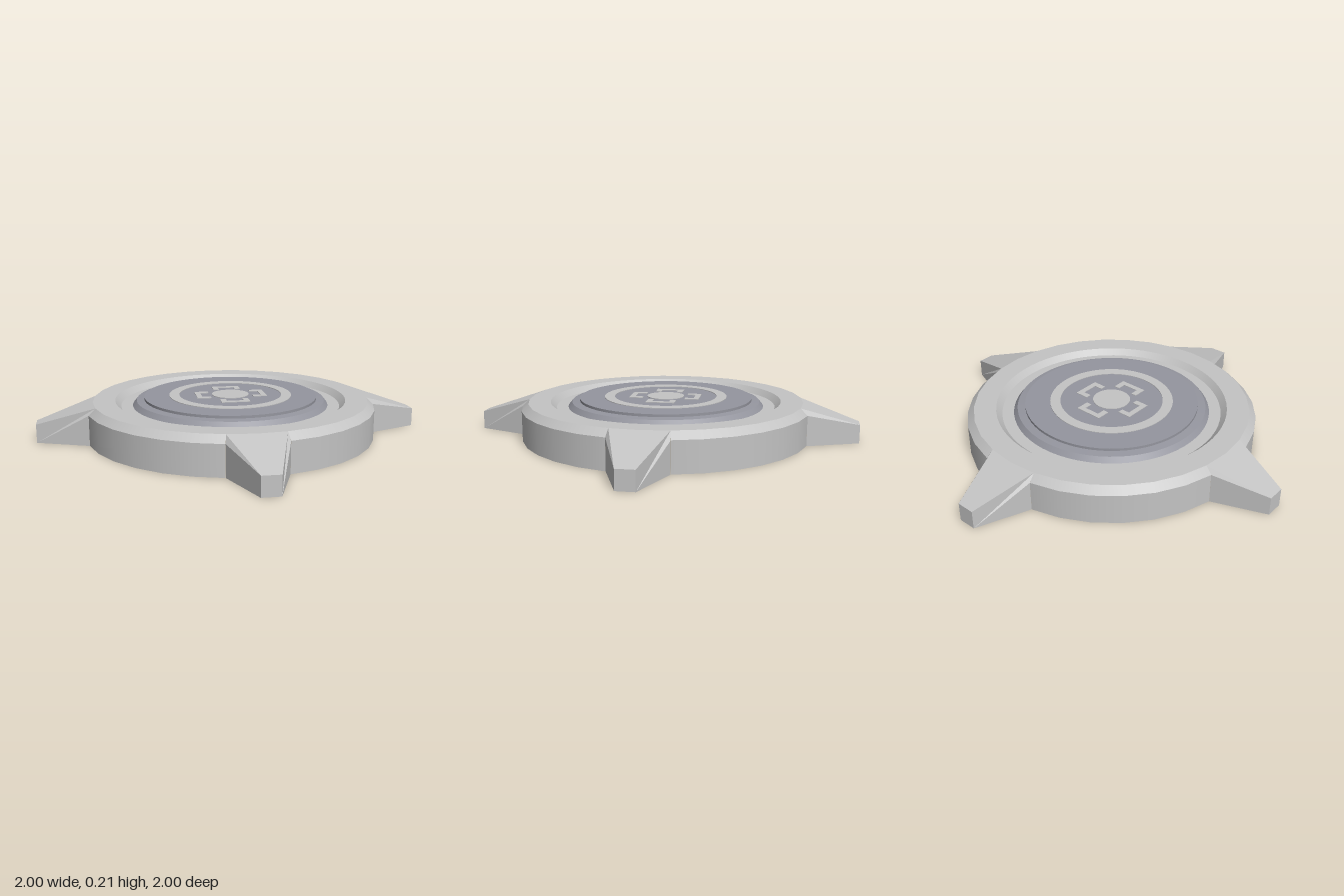
import * as THREE from 'three';

const DEG = Math.PI / 180;

export function createModel() {
  const model = new THREE.Group();
  const lightGrey = new THREE.MeshStandardMaterial({ color: 0xc4c4c4, side: THREE.DoubleSide });
  lightGrey.name = 'light grey';
  const slate = new THREE.MeshStandardMaterial({ color: 0x95969f, side: THREE.DoubleSide });
  slate.name = 'slate grey';

  const add = (name, geometry, material, parent = model) => {
    const mesh = new THREE.Mesh(geometry, material);
    mesh.name = name;
    parent.add(mesh);
    return mesh;
  };

  // One lathe band per profile edge keeps the rims sharp and the turn smooth
  const bands = (name, profile, material, segments = 64, start = 0, sweep = 360) => {
    const group = new THREE.Group();
    group.name = name;
    for (let i = 0; i < profile.length - 1; i++) {
      const pts = [profile[i], profile[i + 1]].map(([r, y]) => new THREE.Vector2(r, y));
      add(name + 'Band', new THREE.LatheGeometry(pts, segments, start * DEG, sweep * DEG), material, group);
    }
    model.add(group);
  };

  // Hollow housing: flat rim, then a bevelled groove around the disc
  bands('rim', [[0.715, 0.19], [0.61, 0.19]], lightGrey, 32);
  bands('groove', [[0.62, 0.19], [0.6, 0.19], [0.57, 0.16], [0.51, 0.16]], lightGrey);

  // Raised central disc
  bands('disc', [[0.51, 0.16], [0.49, 0.185], [0.45, 0.19], [0.45, 0.203], [0, 0.203]], slate);

  // Prong shell, open underneath and towards the housing
  const prong = new THREE.BufferGeometry();
  const side = [[0.045, 0, 1], [0.146, 0, 0.736], [0.146, 0.155, 0.736], [0.14, 0.19, 0.701], [0.045, 0.095, 1]];
  const mirrored = side.map(([x, y, z]) => [-x, y, z]);
  const faces = [
    side,
    [...mirrored].reverse(),
    [mirrored[3], mirrored[4], side[4], side[3]],
    [mirrored[0], side[0], side[4], mirrored[4]],
  ];
  const corners = [];
  for (const f of faces) {
    for (let i = 1; i < f.length - 1; i++) corners.push(...f[0], ...f[i], ...f[i + 1]);
  }
  prong.setAttribute('position', new THREE.Float32BufferAttribute(corners, 3));
  prong.computeVertexNormals();

  // U-shaped bracket, open towards the hub
  const u = new THREE.Shape();
  [[-0.073, 0.11], [-0.073, 0.182], [0.073, 0.182], [0.073, 0.11], [0.043, 0.11],
    [0.043, 0.154], [-0.043, 0.154], [-0.043, 0.11]]
    .forEach(([x, y], i) => (i ? u.lineTo(x, y) : u.moveTo(x, y)));

  // Thin inlays pass through the disc so they show on both of its faces
  const inlay = (shape) => new THREE.ExtrudeGeometry(shape, { depth: 0.006, bevelEnabled: false, curveSegments: 32 })
    .rotateX(-Math.PI / 2).translate(0, 0.2, 0);
  const bracket = inlay(u);

  for (let k = 0; k < 4; k++) {
    // Wall and chamfer between neighbouring prongs
    bands('wall', [[0.75, 0], [0.75, 0.155], [0.715, 0.19]], lightGrey, 6, 11.25 + 90 * k, 67.5);
    add('prong', prong, lightGrey).rotation.y = k * Math.PI / 2;
    add('bracket', bracket, lightGrey).rotation.y = k * Math.PI / 2;
  }

  const ring = new THREE.Shape().absarc(0, 0, 0.32, 0, Math.PI * 2);
  ring.holes.push(new THREE.Path().absarc(0, 0, 0.267, 0, Math.PI * 2, true));
  add('inlayRing', inlay(ring), lightGrey);
  add('hub', inlay(new THREE.Shape().absarc(0, 0, 0.097, 0, Math.PI * 2)), lightGrey);

  return model;
}
